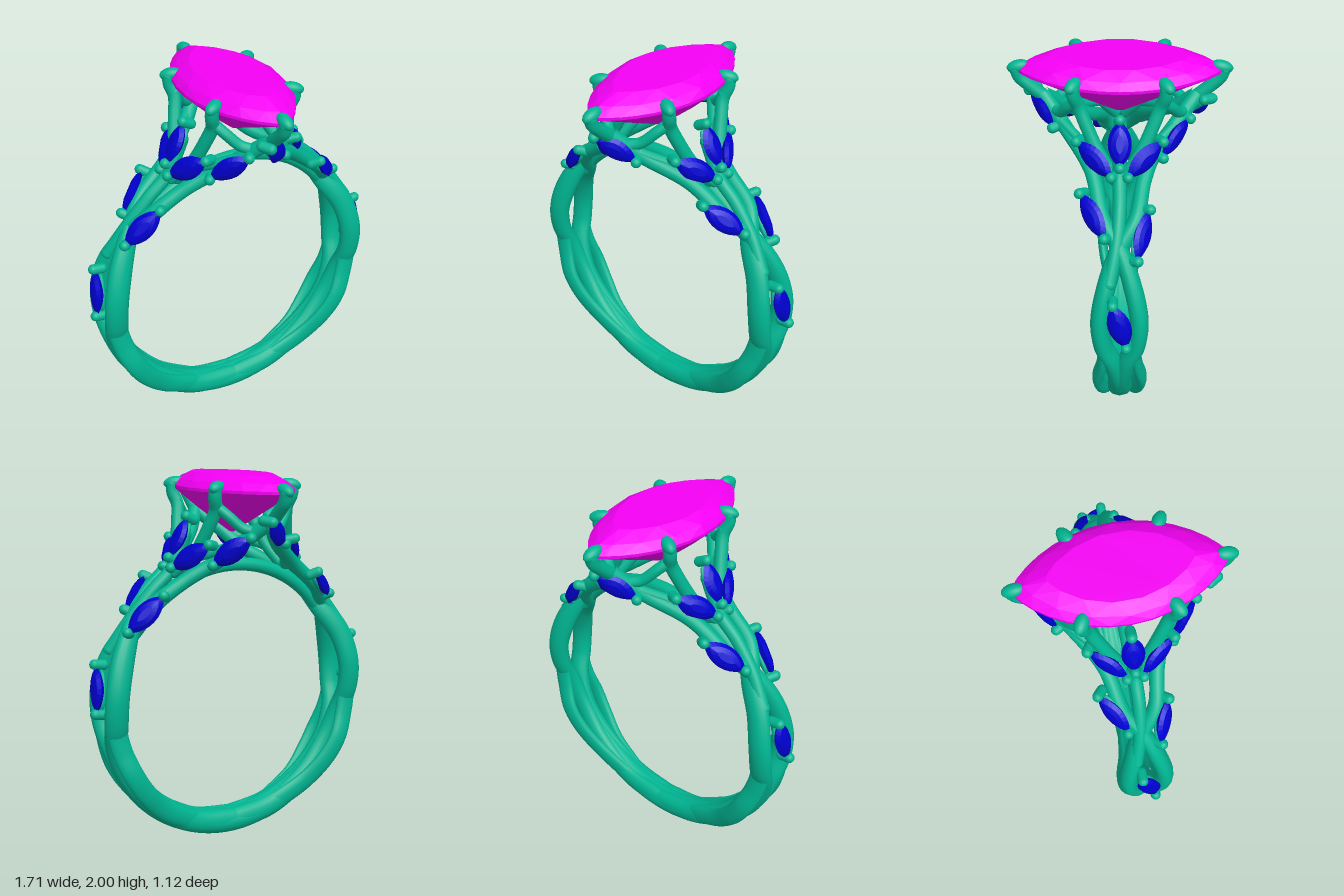
import * as THREE from 'three';
import { ConvexGeometry } from 'three/addons/geometries/ConvexGeometry.js';

const V = (x, y, z) => new THREE.Vector3(x, y, z);
const metal = new THREE.MeshStandardMaterial({ color: 0x00b592 });
const pink = new THREE.MeshStandardMaterial({ color: 0xf400f4, flatShading: true });
const blue = new THREE.MeshStandardMaterial({ color: 0x0000d0, flatShading: true });
const CY = 0.81; // height of the band centre

function add(group, name, geometry, material = metal) {
  const mesh = new THREE.Mesh(geometry, material);
  mesh.name = name;
  group.add(mesh);
  return mesh;
}

// Point on the band: angle in degrees, radius, sideways offset
function onBand(deg, r, z) {
  const a = THREE.MathUtils.degToRad(deg);
  return V(r * Math.cos(a), CY + r * Math.sin(a), z);
}

// Oval sweep whose first axis points away from the band centre
function sweep(points, halfOut, halfSide, steps = 120, sides = 16) {
  const curve = new THREE.CatmullRomCurve3(points);
  const pos = [], index = [];
  for (let i = 0; i <= steps; i++) {
    const u = i / steps;
    const p = curve.getPoint(u), t = curve.getTangent(u);
    const out = V(p.x, p.y - CY, 0);
    out.addScaledVector(t, -out.dot(t)).normalize();
    const side = t.clone().cross(out);
    for (let j = 0; j < sides; j++) {
      const a = (j / sides) * Math.PI * 2;
      const q = p.clone()
        .addScaledVector(out, Math.cos(a) * halfOut(u))
        .addScaledVector(side, Math.sin(a) * halfSide(u));
      pos.push(q.x, q.y, q.z);
      if (i < steps) {
        const k = i * sides, n = (j + 1) % sides;
        index.push(k + j, k + n, k + sides + j, k + n, k + sides + n, k + sides + j);
      }
    }
  }
  const g = new THREE.BufferGeometry();
  g.setAttribute('position', new THREE.Float32BufferAttribute(pos, 3));
  g.setIndex(index);
  g.computeVertexNormals();
  return g;
}

// Round wire with ball ends
function wire(group, name, points, r) {
  add(group, name, new THREE.TubeGeometry(new THREE.CatmullRomCurve3(points), 32, r, 12));
  for (const p of [points[0], points[points.length - 1]])
    add(group, name + 'End', new THREE.SphereGeometry(r, 14, 10)).position.copy(p);
}

// Teardrop claw tip pointing along dir
function clawTip(group, p, dir) {
  const tip = add(group, 'clawTip', new THREE.SphereGeometry(1, 16, 12));
  tip.scale.set(0.034, 0.032, 0.058);
  tip.position.copy(p);
  tip.quaternion.setFromUnitVectors(V(0, 0, 1), dir.normalize());
}

// Pointed oval outline in the xz plane at height y
function marquise(halfW, halfL, y, n, shift = 0) {
  const pts = [];
  for (let i = 0; i < n; i++) {
    const a = ((i + shift) / n) * Math.PI * 2;
    const c = Math.cos(a), s = Math.sin(a);
    pts.push(V(Math.sign(s) * halfW * Math.pow(Math.abs(s), 1.55), y, halfL * c));
  }
  return pts;
}

// Small leaf-shaped stone from a to b, with a metal back and a claw at each end
function leafStone(group, a, b, normal) {
  const leaf = new THREE.Group();
  leaf.name = 'leafStone';
  const dir = b.clone().sub(a), half = dir.length() / 2;
  dir.normalize();
  const up = normal.clone().addScaledVector(dir, -normal.dot(dir)).normalize();
  leaf.quaternion.setFromRotationMatrix(
    new THREE.Matrix4().makeBasis(up.clone().cross(dir), up, dir));
  leaf.position.copy(a).add(b).multiplyScalar(0.5);
  add(leaf, 'leafGem', new ConvexGeometry([
    ...marquise(0.058, half * 1.06, 0, 24),
    ...marquise(0.042, half * 0.8, 0.018, 24),
    ...marquise(0.018, half * 0.45, 0.027, 24),
    ...marquise(0.035, half * 0.7, -0.025, 24)]), blue);
  const back = add(leaf, 'leafBack', new THREE.SphereGeometry(1, 16, 10));
  back.scale.set(0.038, 0.02, half * 0.95);
  back.position.y = -0.026;
  for (const s of [-1, 1]) {
    const claw = add(leaf, 'leafClaw', new THREE.CapsuleGeometry(0.027, 0.05, 6, 12));
    claw.position.set(0, -0.015, s * (half + 0.012));
  }
  group.add(leaf);
}

// One half of the ring; the other half is the same turned by 180 degrees
function half() {
  const g = new THREE.Group();
  g.name = 'ringHalf';
  const { lerp, smoothstep } = THREE.MathUtils;

  // Two main strands: joined below, parted at the side, running up into the shoulders
  const shoulders = {
    '1': [V(0.5, 1.36, -0.08), V(0.33, 1.48, -0.12), V(0.2, 1.56, -0.175), V(0.1, 1.67, -0.28), V(0, 1.78, -0.385)],
    '-1': [V(0.5, 1.36, 0.08), V(0.3, 1.52, 0.14), V(0.1, 1.66, 0.28), V(0, 1.78, 0.385)],
  };
  for (const s of [1, -1]) {
    const path = [
      [-92, 0.737, 0.03], [-70, 0.737, 0.03], [-48, 0.735, 0.022], [-29, 0.735, 0.012],
      [-14, 0.735, 0.038], [-4, 0.735, 0.083], [8, 0.735, 0.097], [22, 0.733, 0.065], [36, 0.728 - s * 0.01, 0.005],
    ].map(([d, r, z]) => onBand(d, r, z * s));
    path.push(...shoulders[s]);
    add(g, 'strand', sweep(path,
      (u) => lerp(0.064, 0.038, smoothstep(u, 0.55, 0.75)),
      (u) => lerp(0.047, 0.038, smoothstep(u, 0.55, 0.75)), 180));

    // Slimmer strand that bows out beside the lower band
    const outer = [[-70, 0.04], [-52, 0.07], [-38, 0.104], [-27, 0.113], [-16, 0.09], [-5, 0.08], [4, 0.095]]
      .map(([d, z]) => onBand(d, 0.735, z * s));
    add(g, 'outerStrand', sweep(outer, () => 0.056, () => 0.029));
  }

  // End prong of the centre setting
  wire(g, 'endProng', [V(0, 1.76, 0.37), V(0, 1.83, 0.45), V(0, 1.88, 0.5), V(0, 1.92, 0.515)], 0.034);
  clawTip(g, V(0, 1.935, 0.503), V(0, 0.25, -1));

  // Corner prongs, with legs that fork to the side and to the end
  for (const s of [1, -1]) {
    wire(g, 'cornerProng', [V(0.33, 1.5, 0.03 * s), V(0.28, 1.6, 0.1 * s), V(0.235, 1.74, 0.165 * s),
      V(0.215, 1.83, 0.2 * s), V(0.23, 1.89, 0.222 * s), V(0.23, 1.93, 0.226 * s)], 0.034);
    clawTip(g, V(0.22, 1.942, 0.223 * s), V(-1, 0.2, -0.55 * s));
    wire(g, 'forkLeg', [V(0.215, 1.85, 0.2 * s), V(0.17, 1.8, 0.25 * s),
      V(0.11, 1.74, 0.29 * s), V(0.05, 1.72, 0.33 * s)], 0.028);
    wire(g, 'leafStem', [V(0.36, 1.5, 0.03 * s), V(0.29, 1.58, 0.11 * s), V(0.2, 1.62, 0.19 * s),
      V(0.1, 1.68, 0.29 * s)], 0.026);
  }

  // Centre stem rising from the strands to the side stone
  wire(g, 'sideStem', [V(0.7, 1.12, 0.05), V(0.6, 1.27, 0.015), V(0.48, 1.41, 0), V(0.37, 1.51, 0),
    V(0.32, 1.6, 0), V(0.28, 1.69, 0)], 0.034);

  // Leaf stones: two ends and the way each one faces
  [
    [V(0.785, 1.045, 0.03), V(0.815, 0.825, -0.03), V(1, 0.1, 0)],
    [V(0.43, 1.455, 0.185), V(0.585, 1.32, 0.075), V(0.55, 0.5, 0.65)],
    [V(0.49, 1.4, -0.14), V(0.65, 1.235, -0.085), V(0.45, 0.45, -0.78)],
    [V(0.27, 1.77, 0), V(0.365, 1.585, 0), V(0.9, 0.45, 0)],
    [V(0.26, 1.65, 0.2), V(0.375, 1.535, 0.045), V(0.75, 0.3, 0.6)],
    [V(0.26, 1.65, -0.2), V(0.375, 1.535, -0.045), V(0.75, 0.3, -0.6)],
    [V(-0.04, 1.775, 0.445), V(0.105, 1.66, 0.335), V(0.4, 0, 0.9)],
    [V(-0.23, 1.56, 0.215), V(-0.1, 1.69, 0.338), V(-0.5, 0, 0.85)],
  ].forEach(([a, b, n]) => leafStone(g, a, b, n));
  return g;
}

export function createModel() {
  const ring = new THREE.Group();
  ring.name = 'ring';

  for (const turn of [0, Math.PI]) {
    const h = half();
    h.rotation.y = turn;
    ring.add(h);
  }

  // Solid lower band, tapering into the strands
  const lower = [], upper = [];
  for (let i = 0; i <= 24; i++) {
    lower.push(onBand(-150 + i * 5, 0.738, 0));
    upper.push(onBand(32 + (i * 116) / 24, 0.705, 0));
  }
  const taper = (u) => Math.sin(Math.PI * u);
  add(ring, 'lowerBand', sweep(lower, (u) => 0.062 + 0.01 * taper(u), (u) => 0.035 + 0.045 * taper(u)));

  // Slim bridge across the top
  add(ring, 'topBridge', sweep(upper, () => 0.036, () => 0.036));

  // Faceted centre stone: table, crown, girdle, pavilion
  add(ring, 'centreStone', new ConvexGeometry([
    ...marquise(0.175, 0.35, 2.0, 16, 0.5),
    ...marquise(0.235, 0.455, 1.965, 16),
    ...marquise(0.26, 0.515, 1.93, 32),
    ...marquise(0.26, 0.515, 1.915, 32),
    ...marquise(0.15, 0.28, 1.81, 16, 0.5),
    V(0, 1.69, 0.02), V(0, 1.69, -0.02)]), pink);

  return ring;
}
